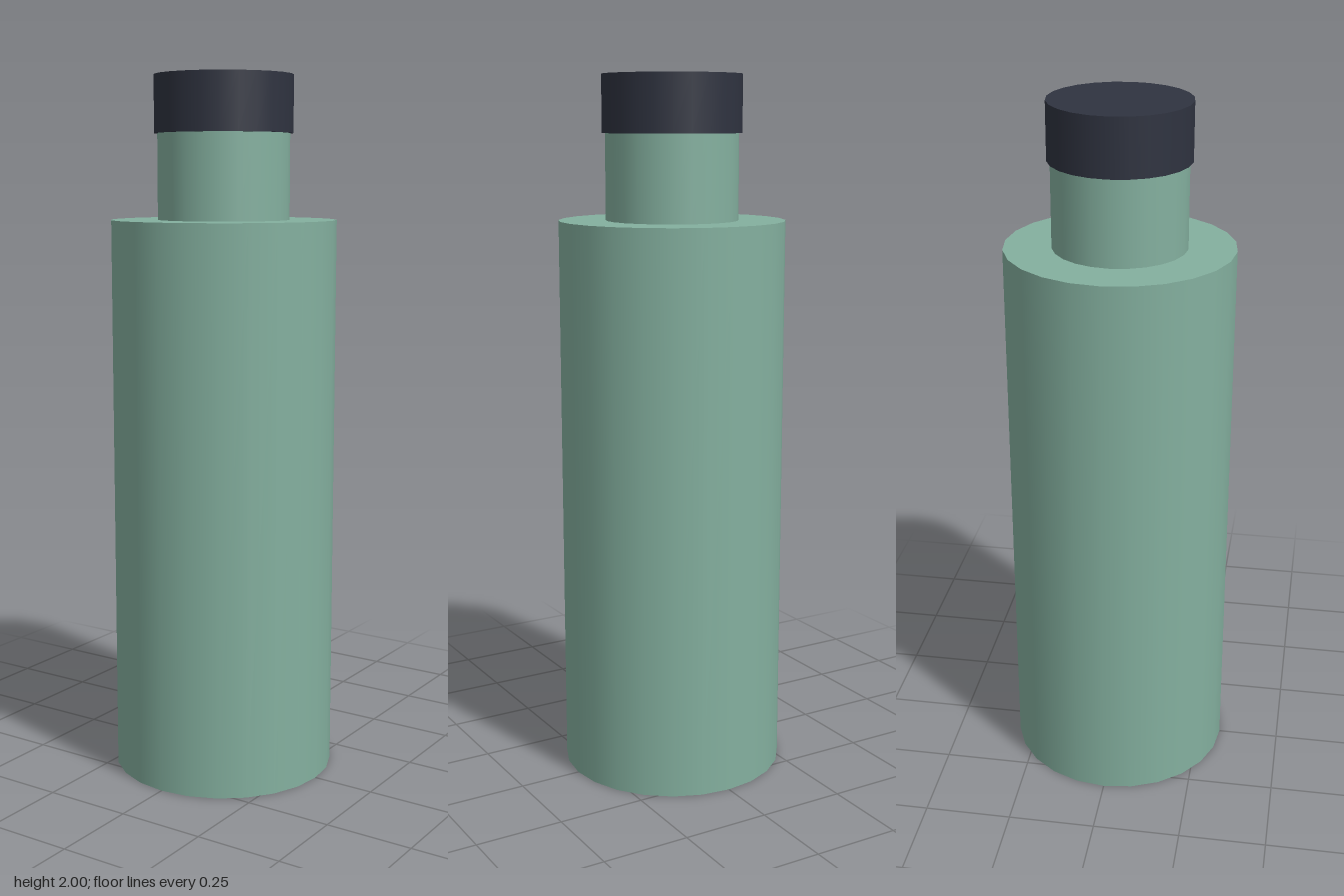
import * as THREE from 'three';

const SIDES = 24;

export function createModel() {
  const group = new THREE.Group();
  const green = new THREE.MeshStandardMaterial({ color: 0x84b09f });
  const dark = new THREE.MeshStandardMaterial({ color: 0x2f3340 });

  // Upright closed cylinder between two heights
  function addCylinder(name, radius, bottom, top, material) {
    const geometry = new THREE.CylinderGeometry(radius, radius, top - bottom, SIDES);
    const mesh = new THREE.Mesh(geometry, material);
    mesh.name = name;
    mesh.position.y = (bottom + top) / 2;
    group.add(mesh);
  }

  addCylinder('body', 0.32, 0, 1.6, green);
  addCylinder('neck', 0.187, 1.6, 1.84, green);
  addCylinder('cap', 0.196, 1.84, 2, dark);

  group.name = 'bottle';
  return group;
}
